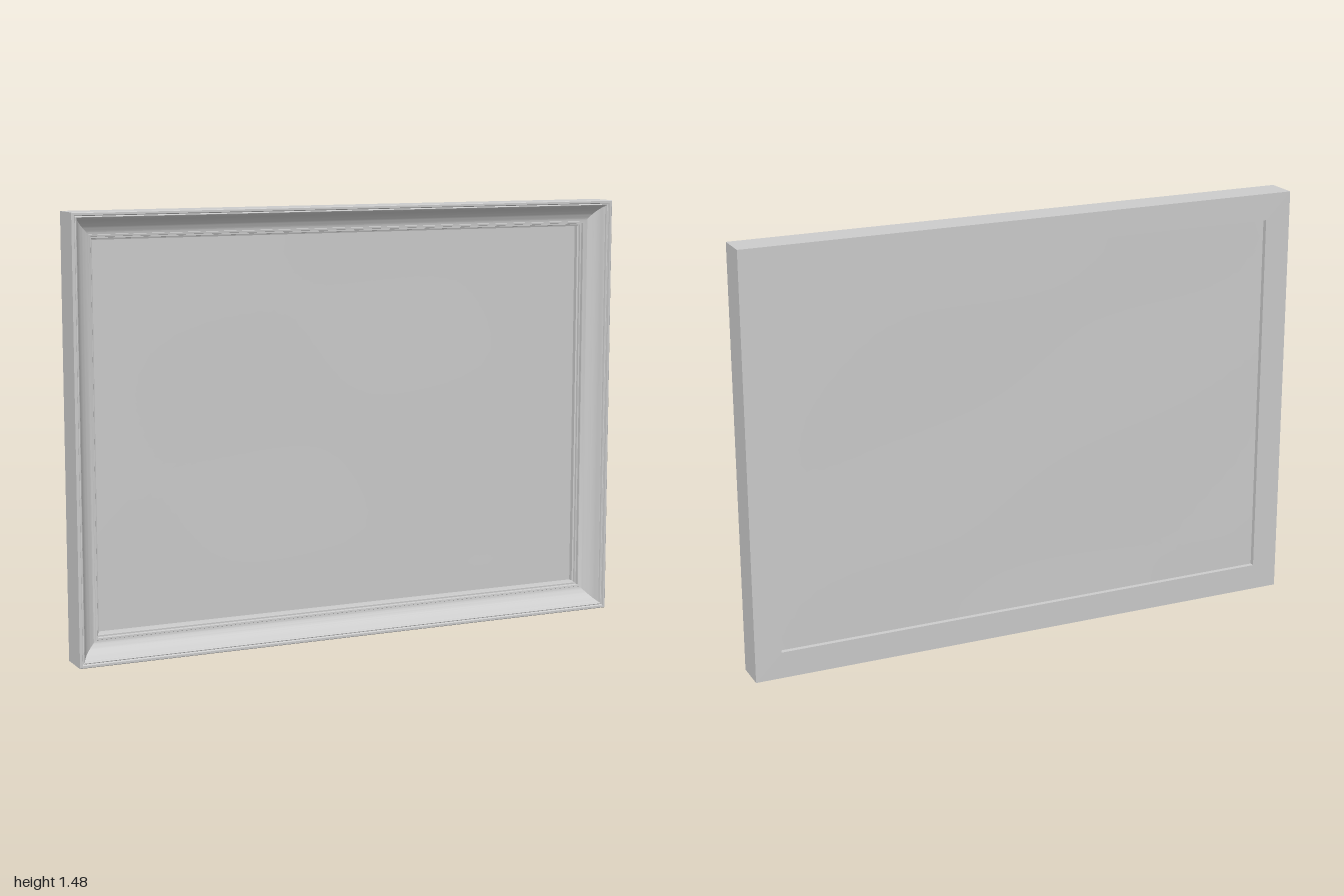
import * as THREE from 'three';
import { toCreasedNormals } from 'three/addons/utils/BufferGeometryUtils.js';

const W = 2, H = 1.48, D = 0.117;

// Moulding cross-section as [inset from outer edge, z], running from the back round the front
function mouldingProfile() {
  const f = D / 2;
  const pts = [[0, -f], [0, f - 0.002], [0.002, f], [0.009, f], [0.011, f - 0.007]];
  // small bead next to the outer lip
  for (let i = 0; i <= 4; i++) {
    const a = Math.PI * (1 - i / 4);
    pts.push([0.0155 + 0.0035 * Math.cos(a), f - 0.008 + 0.0035 * Math.sin(a)]);
  }
  pts.push([0.02, 0.045]);
  // concave cove falling towards the picture
  const cove = new THREE.QuadraticBezierCurve(
    new THREE.Vector2(0.022, 0.043), new THREE.Vector2(0.036, 0.009), new THREE.Vector2(0.074, -0.001));
  for (const p of cove.getPoints(10)) pts.push([p.x, p.y]);
  // sight-edge fillet, inner step and rebate
  pts.push([0.075, 0.001], [0.081, 0], [0.082, -0.002], [0.082, -0.014],
    [0.087, -0.014], [0.088, -0.022], [0.093, -0.024], [0.093, -f]);
  return pts;
}

// Sweep the profile round the rectangle with mitred corners
function frameGeometry() {
  const profile = mouldingProfile(), n = profile.length;
  const corners = [[1, -1], [1, 1], [-1, 1], [-1, -1]];
  const point = (i, k) => {
    const [u, z] = profile[i % n], [sx, sy] = corners[k % 4];
    return [sx * (W / 2 - u), H / 2 + sy * (H / 2 - u), z];
  };
  const pos = [];
  for (let k = 0; k < 4; k++) {
    for (let i = 0; i < n; i++) {
      const a = point(i, k), b = point(i, k + 1), c = point(i + 1, k + 1), d = point(i + 1, k);
      pos.push(...a, ...b, ...c, ...a, ...c, ...d);
    }
  }
  const geo = new THREE.BufferGeometry();
  geo.setAttribute('position', new THREE.Float32BufferAttribute(pos, 3));
  return toCreasedNormals(geo, Math.PI / 7);
}

// Canvas sheet with a very slight unevenness that fades out at its edges
function canvasGeometry() {
  const w = W - 0.186, h = H - 0.186;
  const geo = new THREE.PlaneGeometry(w, h, 32, 24);
  const p = geo.attributes.position;
  for (let i = 0; i < p.count; i++) {
    const x = p.getX(i), y = p.getY(i);
    const fade = Math.cos(Math.PI * x / w) * Math.cos(Math.PI * y / h);
    p.setZ(i, 0.002 * fade * Math.sin(4 * x + 2 * y) * Math.cos(5 * y - x));
  }
  geo.computeVertexNormals();
  return geo;
}

export function createModel() {
  const group = new THREE.Group();
  group.name = 'framedPicture';

  const frame = new THREE.Mesh(frameGeometry(), new THREE.MeshStandardMaterial({ color: 0xcccccc }));
  frame.name = 'frame';

  const canvas = new THREE.Mesh(canvasGeometry(),
    new THREE.MeshStandardMaterial({ color: 0xcccccc, side: THREE.DoubleSide }));
  canvas.name = 'canvas';
  canvas.position.set(0, H / 2, -0.041);

  group.add(frame, canvas);
  return group;
}
